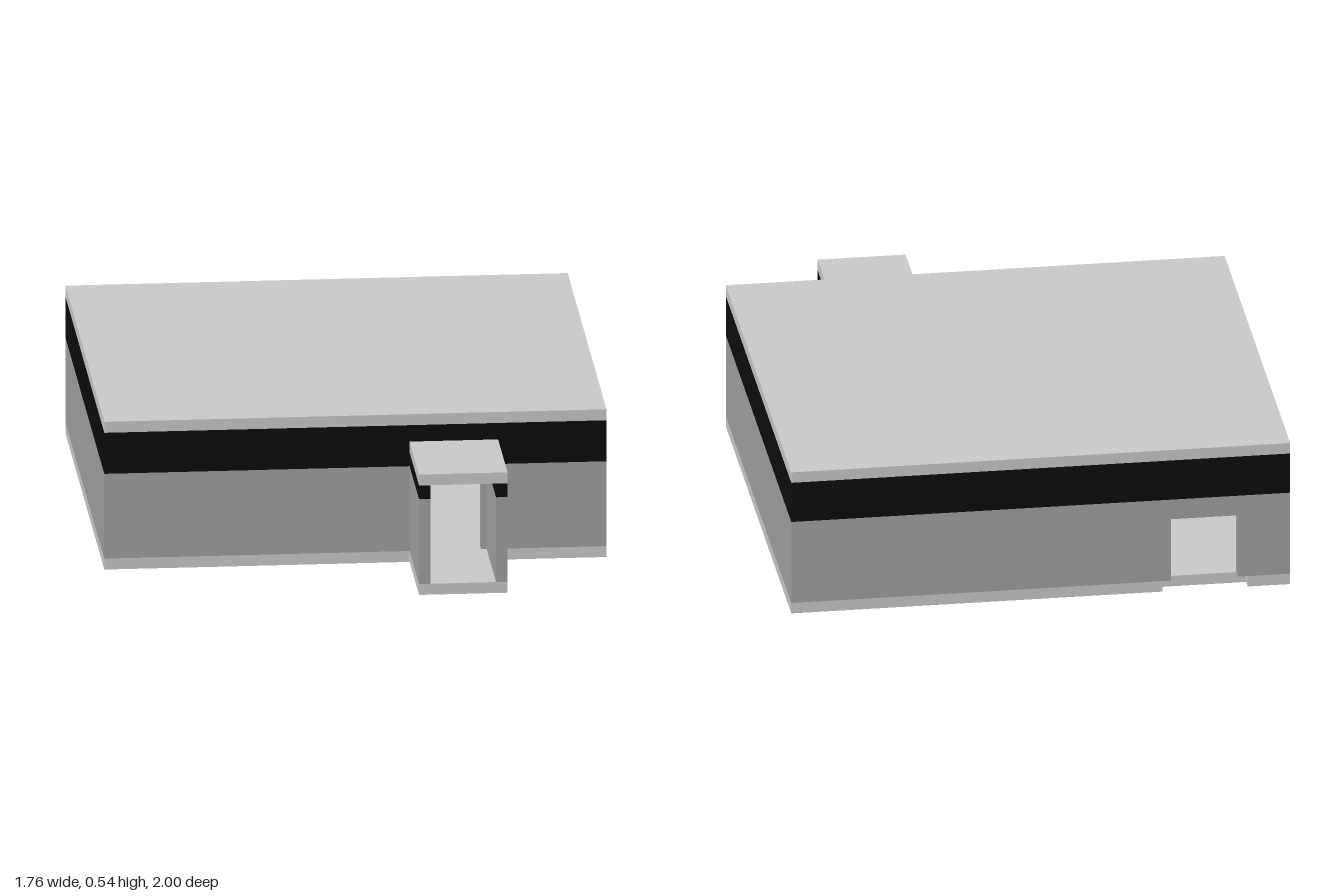
import * as THREE from 'three';

const material = (name, color) => {
  const m = new THREE.MeshStandardMaterial({ color });
  m.name = name;
  return m;
};

// Main hall and porch limits
const W = 0.88, BACK = -1, FRONT = 0.61, T = 0.04;
const PORCH = { x0: 0.19, x1: 0.5, z1: 1 };
const FLOOR = 0.04, BAND = 0.35, EAVE = 0.5, PORCH_EAVE = 0.4;

export function createModel() {
  const concrete = material('light concrete', 0xc8c8c8);
  const wall = material('grey wall', 0x9f9f9f);
  const black = material('black band', 0x0c0c0c);
  const model = new THREE.Group();
  model.name = 'building';

  const add = (name, geometry, mat) => {
    const mesh = new THREE.Mesh(geometry, mat);
    mesh.name = name;
    model.add(mesh);
  };
  const box = (name, mat, x0, x1, y0, y1, z0, z1) => {
    const g = new THREE.BoxGeometry(x1 - x0, y1 - y0, z1 - z0);
    g.translate((x0 + x1) / 2, (y0 + y1) / 2, (z0 + z1) / 2);
    add(name, g, mat);
  };
  // Extrudes a plan outline of [x, z] points upwards
  const plan = (name, mat, points, y0, y1, hole) => {
    const toVec = ([x, z]) => new THREE.Vector2(x, -z);
    const shape = new THREE.Shape(points.map(toVec));
    if (hole) shape.holes.push(new THREE.Path(hole.map(toVec)));
    const g = new THREE.ExtrudeGeometry(shape, { depth: y1 - y0, bevelEnabled: false });
    g.rotateX(-Math.PI / 2).translate(0, y0, 0);
    add(name, g, mat);
  };
  const rect = (x, z0, z1) => [[-x, z1], [x, z1], [x, z0], [-x, z0]];

  // Floor slab, with a notch at the back doorway
  plan('floorSlab', concrete, [
    [-W, FRONT], [PORCH.x0, FRONT], [PORCH.x0, PORCH.z1], [PORCH.x1, PORCH.z1],
    [PORCH.x1, FRONT], [W, FRONT], [W, BACK],
    [-0.43, BACK], [-0.43, BACK + T], [-0.73, BACK + T], [-0.73, BACK], [-W, BACK],
  ], 0, FLOOR);

  // Side walls
  for (const [name, x] of [['leftWall', W - T], ['rightWall', -W]]) {
    box(name, wall, x, x + T, FLOOR, BAND, BACK, FRONT);
  }

  // Front wall on both sides of the inner doorway
  box('frontWallRight', wall, -W + T, 0.245, FLOOR, BAND, FRONT - T, FRONT);
  box('frontWallLeft', wall, 0.44, W - T, FLOOR, BAND, FRONT - T, FRONT);

  // Back wall around the back doorway
  box('backWallLeft', wall, -0.46, W - T, FLOOR, BAND, BACK, BACK + T);
  box('backWallRight', wall, -W + T, -0.695, FLOOR, BAND, BACK, BACK + T);
  box('backLintel', wall, -0.695, -0.46, 0.275, BAND, BACK, BACK + T);

  // Black upper walls and flat roof
  plan('upperBand', black, rect(W, BACK, FRONT), BAND, EAVE, rect(W - T, BACK + T, FRONT - T));
  box('roof', concrete, -W, W, EAVE, 0.54, BACK, FRONT);

  // Open-ended porch
  for (const x of [PORCH.x0, PORCH.x1 - T]) {
    box('porchWall', wall, x, x + T, FLOOR, BAND, FRONT, PORCH.z1);
    box('porchBand', black, x, x + T, BAND, PORCH_EAVE, FRONT, PORCH.z1);
  }
  box('porchRoof', concrete, PORCH.x0, PORCH.x1, PORCH_EAVE, 0.44, FRONT, PORCH.z1);

  return model;
}
